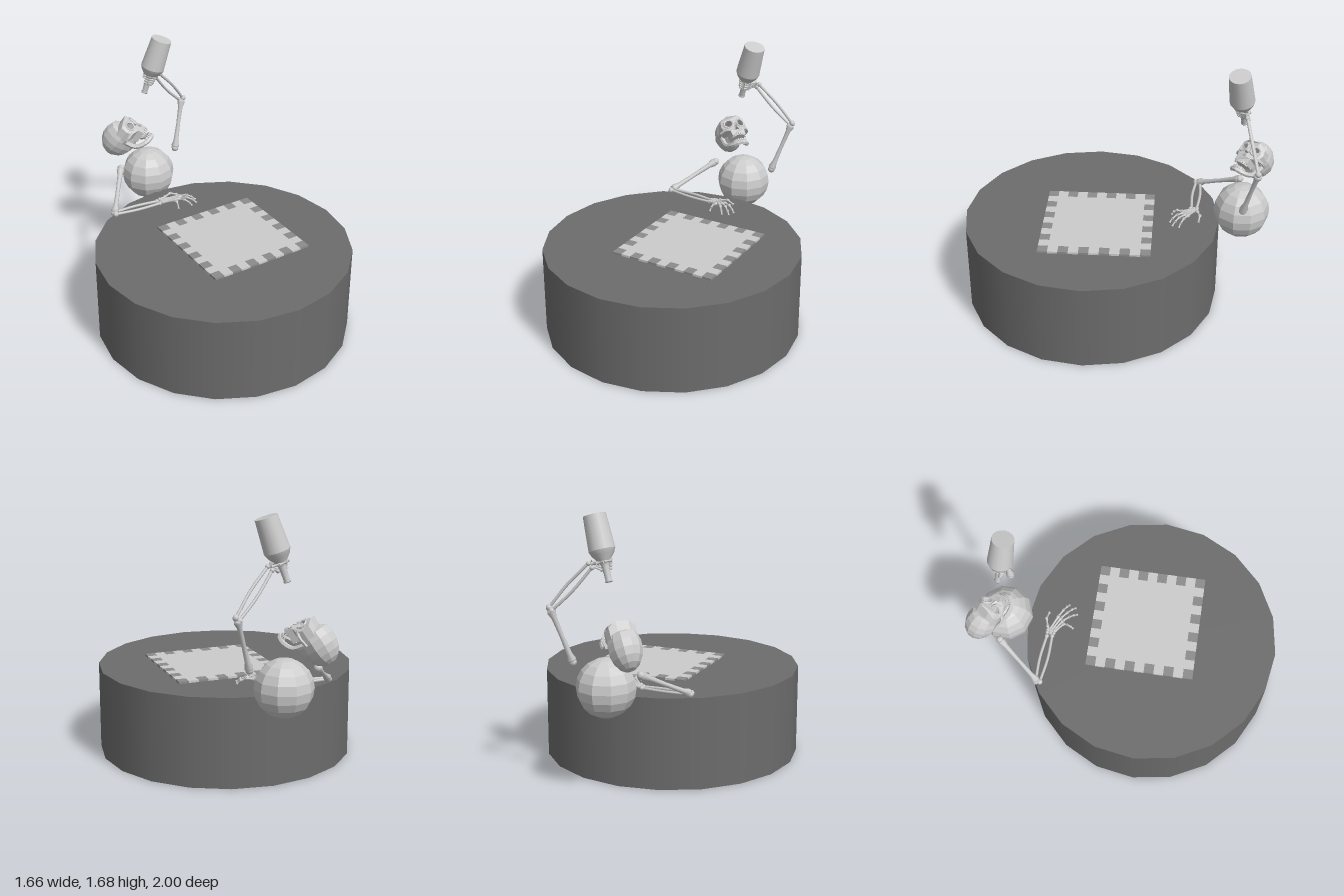
import * as THREE from 'three';

const paint = (color, flatShading = false) => new THREE.MeshStandardMaterial({ color, flatShading, side: THREE.DoubleSide });
const bone = paint(0xcccccc), boneFlat = paint(0xcccccc, true);
const dark = paint(0x6c6c6c), light = paint(0xcccccc), check = paint(0x8c8c8c);
const V = (x, y, z) => new THREE.Vector3(x, y, z);
const UP = V(0, 1, 0);

function add(parent, name, geometry, material, x = 0, y = 0, z = 0) {
  const mesh = new THREE.Mesh(geometry, material);
  mesh.name = name;
  mesh.position.set(x, y, z);
  parent.add(mesh);
  return mesh;
}

// Lathed solid standing from point a to point b; profile is [radius, fraction of length]
function turned(parent, name, a, b, profile, sides, material = bone) {
  const d = b.clone().sub(a), len = d.length();
  const geo = new THREE.LatheGeometry(profile.map(([r, t]) => new THREE.Vector2(r, t * len)), sides);
  const mesh = add(parent, name, geo, material, a.x, a.y, a.z);
  mesh.quaternion.setFromUnitVectors(UP, d.normalize());
  return mesh;
}

// Long bone with flared ends
const boneProfile = [[0, 0], [1.35, 0.01], [1.7, 0.05], [1.1, 0.15], [0.85, 0.5], [1, 0.84], [1.7, 0.94], [1.4, 0.99], [0, 1]];
const longBone = (parent, name, a, b, r) =>
  turned(parent, name, a, b, boneProfile.map(([k, t]) => [k * r, t]), 8);

// Chain of small bones through the given joints
function digit(parent, name, joints, r) {
  for (let i = 0; i < joints.length - 1; i++) longBone(parent, name, joints[i], joints[i + 1], r * (1 - i * 0.1));
}

// Upper arm, paired forearm bones and the knobs of the elbow and wrist
function arm(parent, shoulder, elbow, wrist, spread) {
  longBone(parent, 'upperArm', shoulder, elbow, 0.016);
  add(parent, 'shoulderHead', new THREE.SphereGeometry(0.025, 8, 6), bone, ...shoulder.toArray());
  for (const s of [-1, 1]) {
    const a = elbow.clone().addScaledVector(spread, s * 0.6), b = wrist.clone().addScaledVector(spread, s * 0.8);
    const mid = a.clone().lerp(b, 0.5).addScaledVector(spread, s * 0.5);
    add(parent, 'forearm', new THREE.TubeGeometry(new THREE.CatmullRomCurve3([a, mid, b]), 8, 0.0095, 7), bone);
    add(parent, 'elbowKnob', new THREE.SphereGeometry(0.02, 8, 6), bone, ...a.toArray());
    add(parent, 'wristKnob', new THREE.SphereGeometry(0.015, 8, 6), bone, ...b.toArray());
  }
}

function makeSkull() {
  const skull = new THREE.Group();
  skull.name = 'skull';
  // Braincase, flattened where the face sits
  const cranium = new THREE.SphereGeometry(1, 12, 9);
  cranium.rotateX(Math.PI / 2);
  cranium.scale(0.1, 0.118, 0.14);
  const p = cranium.attributes.position;
  for (let i = 0; i < p.count; i++) {
    const y = p.getY(i), z = p.getZ(i);
    p.setZ(i, Math.min(z, 0.085));
    if (y < -0.03) p.setX(i, p.getX(i) * 0.88);
  }
  add(skull, 'cranium', cranium, boneFlat, 0, 0.01, -0.025);

  // Face plate pierced by eye sockets and nose
  const half = [[0.04, 0.068], [0.083, 0.05], [0.092, 0.005], [0.082, -0.035], [0.05, -0.058], [0.047, -0.1]];
  const outline = [...half, ...half.slice().reverse().map(([x, y]) => [-x, y])];
  const shape = new THREE.Shape(outline.map(([x, y]) => new THREE.Vector2(x, y)));
  for (const s of [-1, 1]) {
    const hole = new THREE.Path();
    hole.absellipse(s * 0.043, 0.005, 0.029, 0.027, 0, Math.PI * 2);
    shape.holes.push(hole);
  }
  shape.holes.push(new THREE.Path([[0, -0.022], [0.015, -0.058], [-0.015, -0.058]].map(([x, y]) => new THREE.Vector2(x, y))));
  const face = new THREE.ExtrudeGeometry(shape, { depth: 0.085, bevelEnabled: false, curveSegments: 5 });
  const f = face.attributes.position;
  for (let i = 0; i < f.count; i++) f.setZ(i, f.getZ(i) - 5 * f.getX(i) ** 2 + (f.getY(i) < -0.05 ? 0.015 : 0));
  face.computeVertexNormals();
  add(skull, 'face', face, boneFlat, 0, 0, 0.045);

  // Nose bridge, brow ridges and cheek arches
  const bridge = add(skull, 'noseBridge', new THREE.ConeGeometry(0.015, 0.045, 5), boneFlat, 0, -0.005, 0.132);
  bridge.rotation.x = -0.3;
  for (const s of [-1, 1]) {
    const brow = add(skull, 'socketRim', new THREE.TorusGeometry(0.031, 0.007, 5, 10), boneFlat, s * 0.043, 0.005, 0.12);
    brow.rotation.y = s * 0.35;
    const arch = new THREE.CatmullRomCurve3([V(s * 0.07, -0.03, 0.1), V(s * 0.1, -0.03, 0.06), V(s * 0.09, -0.025, 0)]);
    add(skull, 'cheekArch', new THREE.TubeGeometry(arch, 5, 0.01, 5), boneFlat);
  }

  // Tooth rows
  for (const [y, z] of [[-0.102, 0.1], [-0.137, 0.085]])
    for (let i = -4; i <= 4; i++) {
      const a = i * 0.3;
      const tooth = add(skull, 'tooth', new THREE.BoxGeometry(0.011, 0.018, 0.009), boneFlat, Math.sin(a) * 0.046, y, z + Math.cos(a) * 0.045);
      tooth.rotation.y = a;
    }

  // Open lower jaw
  const jaw = [[0.078, -0.03, 0.01], [0.072, -0.11, 0.03], [0.05, -0.15, 0.09]];
  const path = [...jaw.map(q => V(...q)), V(0, -0.158, 0.128), ...jaw.slice().reverse().map(([x, y, z]) => V(-x, y, z))];
  add(skull, 'lowerJaw', new THREE.TubeGeometry(new THREE.CatmullRomCurve3(path), 18, 0.016, 6), boneFlat);

  // Head thrown back
  skull.rotation.order = 'YXZ';
  skull.rotation.set(-0.96, 0.877, 0);
  skull.position.set(-0.15, 0.95, -0.878);
  return skull;
}

function makeBottle() {
  const hold = new THREE.Group();
  hold.name = 'bottleAndHand';
  const base = V(0.095, 1.66, -0.735), lip = V(-0.02, 1.285, -0.785);
  turned(hold, 'bottle', base, lip, [[0, 0], [0.068, 0], [0.068, 0.001], [0.079, 0.52], [0.079, 0.52], [0.066, 0.59], [0.032, 0.7], [0.022, 0.76], [0.018, 0.98], [0.022, 0.98], [0.022, 1], [0, 1]], 16);

  // Fingers curled round the neck
  const axis = lip.clone().sub(base), dir = axis.clone().normalize();
  const side = V(1, 0, 0).addScaledVector(dir, -dir.x).normalize();
  const front = V().crossVectors(side, dir).normalize();
  if (front.z < 0) front.negate();
  const wrist = V(0.085, 1.385, -0.795);
  for (let i = 0; i < 4; i++) {
    const c = base.clone().addScaledVector(axis, 0.67 + i * 0.045), r = 0.043 - i * 0.004;
    const around = a => c.clone().addScaledVector(side, Math.cos(a) * r).addScaledVector(front, Math.sin(a) * r);
    digit(hold, 'grippingFinger', [wrist.clone().addScaledVector(dir, (i - 1.5) * 0.009), around(0.3), around(1.3), around(2.2), around(3)], 0.0075);
  }
  const c = base.clone().addScaledVector(axis, 0.7);
  digit(hold, 'grippingThumb', [wrist, c.clone().addScaledVector(side, 0.03).addScaledVector(front, -0.035),
    c.clone().addScaledVector(front, -0.04).addScaledVector(side, -0.015), c.clone().addScaledVector(side, -0.045)], 0.008);
  return hold;
}

function makeRestingHand() {
  const hand = new THREE.Group();
  hand.name = 'restingHand';
  const wrist = V(-0.085, 0.597, -0.492);
  for (let i = 0; i < 6; i++)
    add(hand, 'wristBone', new THREE.SphereGeometry(0.013, 6, 5), bone, -0.075 + (i % 2) * 0.018, 0.6, -0.515 + (i >> 1) * 0.022);
  // Knuckle x, z and fingertip x, z
  const fingers = [[0.045, -0.455, 0.14, -0.4], [0.033, -0.437, 0.125, -0.357], [0.015, -0.422, 0.08, -0.34], [-0.008, -0.415, -0.02, -0.352]];
  fingers.forEach(([kx, kz, tx, tz], i) => {
    const at = (t, y) => V(kx + (tx - kx) * t, y, kz + (tz - kz) * t);
    const start = wrist.clone().add(V(0.015, 0, (i - 1.5) * 0.012));
    digit(hand, 'finger', [start, at(0, 0.622), at(0.45, 0.627), at(0.78, 0.612), at(1, 0.59)], 0.008);
  });
  digit(hand, 'thumb', [wrist, V(-0.03, 0.605, -0.52), V(0.02, 0.61, -0.535), V(0.07, 0.59, -0.525)], 0.008);
  return hand;
}

export function createModel() {
  const model = new THREE.Group();
  model.name = 'skeletonAtTable';

  // Round table
  add(model, 'table', new THREE.CylinderGeometry(0.83, 0.83, 0.575, 20), dark, 0, 0.2875, 0.17);

  // Square cloth with a checked border
  const cloth = new THREE.Group();
  cloth.name = 'cloth';
  cloth.position.set(0.1, 0.581, 0.123);
  model.add(cloth);
  const n = 11, s = 0.71 / n, mid = (n - 1) / 2;
  add(cloth, 'clothCentre', new THREE.BoxGeometry(s * (n - 2), 0.014, s * (n - 2)), light);
  const tile = new THREE.BoxGeometry(s, 0.014, s);
  for (let i = 0; i < n; i++)
    for (let j = 0; j < n; j++)
      if (i % (n - 1) === 0 || j % (n - 1) === 0)
        add(cloth, 'borderSquare', tile, (i + j) % 2 ? light : check, (i - mid) * s, 0, (j - mid) * s);

  // Faceted ball body
  add(model, 'body', new THREE.SphereGeometry(0.18, 10, 10).rotateY(Math.PI / 2), boneFlat, 0, 0.66, -0.8);

  model.add(makeSkull(), makeBottle(), makeRestingHand());

  // Raised left arm and right arm lying on the table
  const leftArm = new THREE.Group(), rightArm = new THREE.Group();
  leftArm.name = 'leftArm';
  rightArm.name = 'rightArm';
  model.add(leftArm, rightArm);
  arm(leftArm, V(0.218, 0.79, -0.797), V(0.32, 1.115, -0.87), V(0.095, 1.375, -0.797), V(0.016, 0.014, 0.004));
  arm(rightArm, V(-0.22, 0.757, -0.79), V(-0.42, 0.597, -0.52), V(-0.095, 0.592, -0.497), V(0.003, 0, 0.022));
  return model;
}
